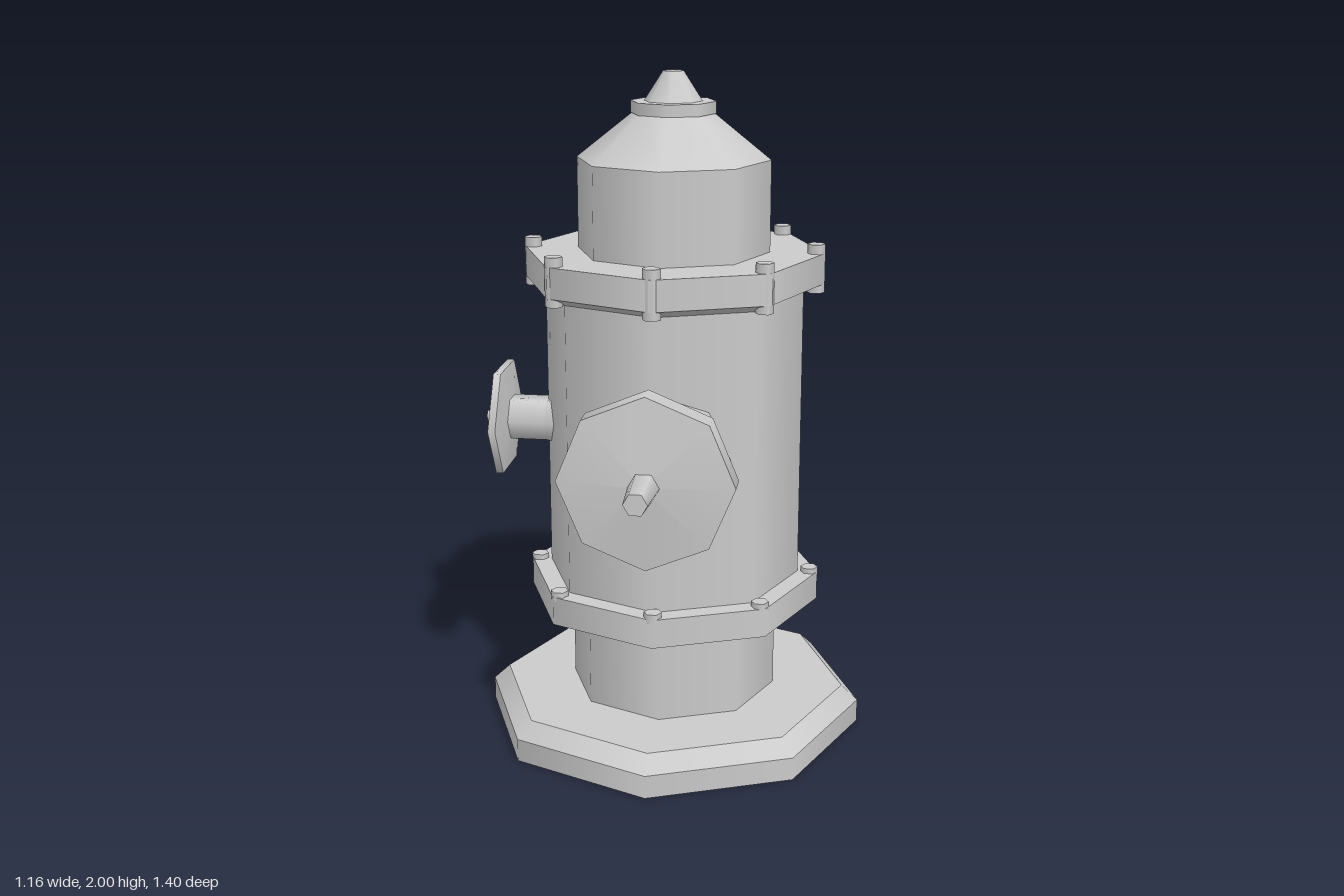
import * as THREE from 'three';
import { mergeGeometries } from 'three/addons/utils/BufferGeometryUtils.js';

const AXIS_Z = -0.015;
const material = new THREE.MeshStandardMaterial({ color: 0xcccccc, side: THREE.DoubleSide });

// Turned shape: smooth around the axis, sharp between the bands of its profile [radius, height]
function turned(name, profile, sides = 8, phi = 0) {
  const bands = [];
  for (let i = 0; i < profile.length - 1; i++) {
    const pair = [profile[i], profile[i + 1]].map(([r, y]) => new THREE.Vector2(r, y));
    bands.push(new THREE.LatheGeometry(pair, sides, phi));
  }
  const mesh = new THREE.Mesh(mergeGeometries(bands), material);
  mesh.name = name;
  return mesh;
}

// Ring of hexagonal bolts on the flange corners
function boltRing(name, y0, y1) {
  const ring = new THREE.Group();
  ring.name = name;
  for (let i = 0; i < 8; i++) {
    const a = (i * Math.PI) / 4;
    const bolt = turned('bolt', [[0, y0], [0.026, y0], [0.026, y1], [0, y1]], 6, Math.PI / 2);
    bolt.position.set(Math.sin(a) * 0.42, 0, Math.cos(a) * 0.42);
    ring.add(bolt);
  }
  return ring;
}

// Capped hose outlet, built upright and then laid along z
function outlet(name, side) {
  const group = new THREE.Group();
  group.name = name;
  group.add(
    turned('outletPipe', [[0.208, 0.28], [0.208, 0.45]]),
    turned('outletCap', [[0.205, 0.44], [0.245, 0.455], [0.25, 0.46], [0.25, 0.535], [0, 0.565]]),
    turned('outletStem', [[0.045, 0.55], [0.034, 0.7], [0, 0.7]], 6, Math.PI / 2)
  );
  group.rotation.x = (side * Math.PI) / 2;
  group.position.y = 0.935;
  group.position.z = side > 0 ? 0 : 0.005;
  group.scale.y = side > 0 ? 1 : 1.007;
  return group;
}

export function createModel() {
  const model = new THREE.Group();
  model.name = 'fireHydrant';

  // Column, stacked from the hollow foot to the top nut
  const column = new THREE.Group();
  column.name = 'column';
  column.position.z = AXIS_Z;
  column.add(
    turned('foot', [[0.58, 0], [0.58, 0.07], [0.53, 0.117], [0.315, 0.117]]),
    turned('neck', [[0.315, 0.117], [0.315, 0.37]]),
    turned('lowerFlange', [[0.315, 0.365], [0.445, 0.405], [0.445, 0.492], [0.385, 0.492]]),
    turned('barrel', [[0.385, 0.49], [0.385, 1.37]]),
    turned('upperFlange', [[0.385, 1.365], [0.445, 1.392], [0.445, 1.482], [0.285, 1.482]]),
    turned('bonnet', [[0.285, 1.48], [0.285, 1.75], [0.115, 1.885]]),
    turned('collar', [[0.1, 1.88], [0.125, 1.88], [0.125, 1.915], [0.085, 1.915]]),
    turned('topNut', [[0.085, 1.915], [0.03, 2], [0, 2]]),
    boltRing('lowerBolts', 0.48, 0.508),
    boltRing('upperBolts', 1.367, 1.51)
  );
  model.add(column);

  // Front and back outlets
  model.add(outlet('frontOutlet', 1), outlet('backOutlet', -1));

  // Six-sided hand wheel on its stub pipe, built upright and laid towards -x
  const valve = new THREE.Group();
  valve.name = 'sideValve';
  valve.add(
    turned('valvePipe', [[0.078, 0.34], [0.07, 0.385], [0.07, 0.5]], 6),
    turned('handWheel', [[0.05, 0.495], [0.165, 0.508], [0.18, 0.51], [0.18, 0.532], [0.155, 0.532], [0, 0.52]], 6),
    turned('wheelNut', [[0.025, 0.515], [0.016, 0.575], [0, 0.575]], 6)
  );
  valve.rotation.z = Math.PI / 2;
  valve.position.set(0, 0.95, AXIS_Z);
  model.add(valve);

  return model;
}
